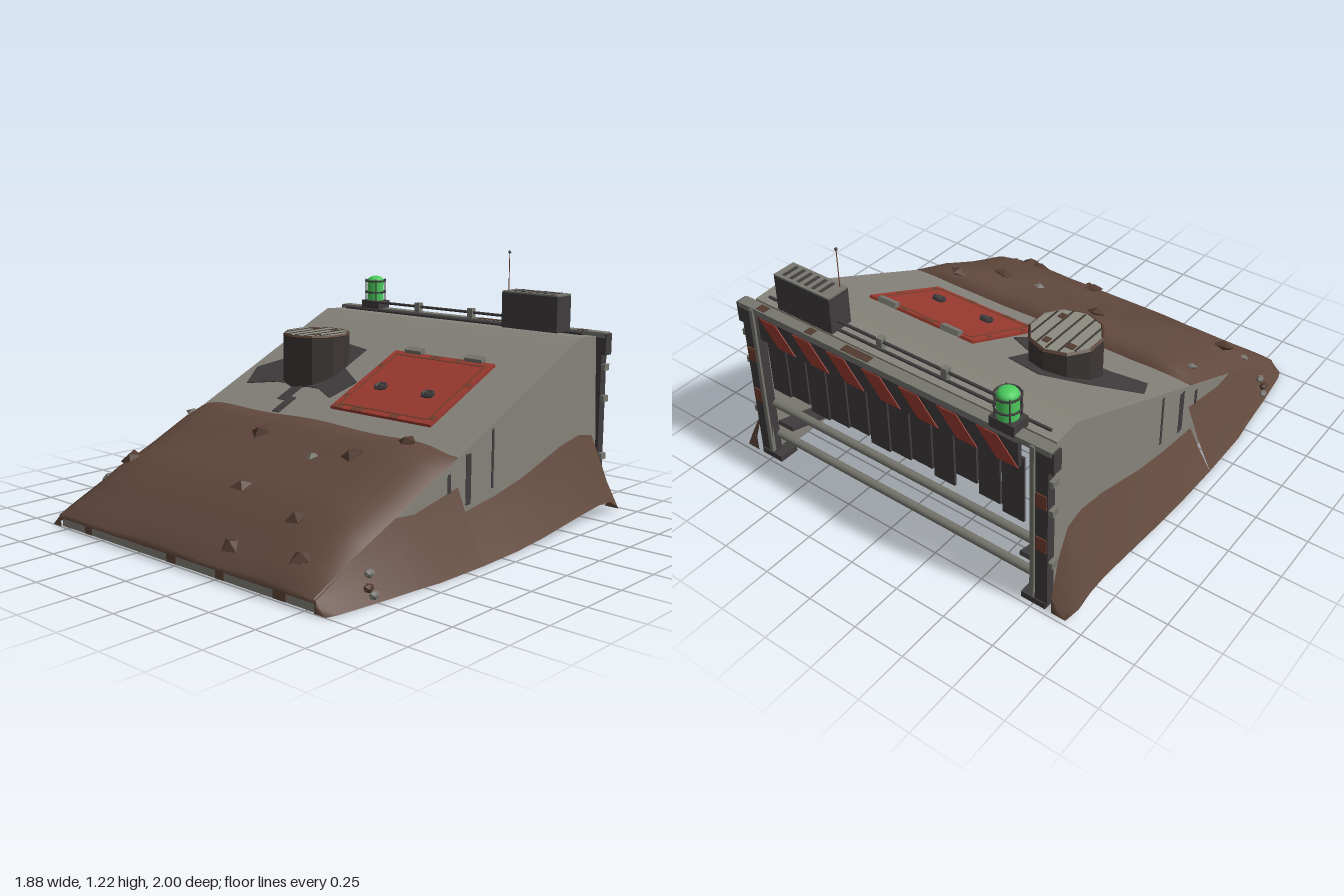
import * as THREE from 'three';

const mat = (name, color) => {
  const m = new THREE.MeshStandardMaterial({ color });
  m.name = name;
  return m;
};

// piecewise linear lookup in [key, value] pairs with descending keys
function lookup(table, k) {
  for (let i = 0; i < table.length - 1; i++) {
    const [a, va] = table[i], [b, vb] = table[i + 1];
    if (k <= a && k >= b) return va + (vb - va) * (a - k) / (a - b || 1);
  }
  return table[k > table[0][0] ? 0 : table.length - 1][1];
}

// surface through rows of points
function loft(rows) {
  const n = rows[0].length, index = [];
  for (let i = 0; i < rows.length - 1; i++)
    for (let j = 0; j < n - 1; j++) {
      const a = i * n + j, b = a + n;
      index.push(a, b, a + 1, b, b + 1, a + 1);
    }
  const g = new THREE.BufferGeometry();
  g.setAttribute('position', new THREE.Float32BufferAttribute(rows.flat(2), 3));
  g.setIndex(index);
  g.computeVertexNormals();
  return g;
}

const SLOPE = 0.444, TILT = Math.atan(SLOPE);
const rampY = z => 0.84 - (z + 0.77) * SLOPE;
const dirtTable = [[1, 0.065], [0.93, 0.12], [0.84, 0.19], [0.72, 0.285], [0.5, 0.37],
  [0.28, 0.465], [0.17, 0.48], [0.14, 0.44]];
const dirtY = (u, z) => {
  const r = rampY(z), bump = 0.006 * Math.sin(u * 7 + z * 9);
  return r + Math.max(0.004, lookup(dirtTable, z) - r + bump) * (1 - Math.abs(u) ** 9);
};

export function createModel() {
  const root = new THREE.Group();
  const concrete = mat('concrete', 0x86847b);
  const dirt = mat('dirt', 0x62493d);
  const rock = mat('darkRock', 0x523b30);
  const dark = mat('darkMetal', 0x413d3e);
  const drumMetal = mat('drumMetal', 0x3d3735);
  const steel = mat('steel', 0x77776f);
  const pale = mat('paleMetal', 0x8d8b82);
  const red = mat('redPaint', 0x9c3a30);
  const rust = mat('rust', 0x74402f);
  const green = mat('greenGlass', 0x4ccb5e);
  dirt.side = THREE.DoubleSide;

  const add = (name, geo, m, x = 0, y = 0, z = 0, parent = root) => {
    const o = new THREE.Mesh(geo, m);
    o.name = name;
    o.position.set(x, y, z);
    parent.add(o);
    return o;
  };
  const box = (name, m, w, h, d, x, y, z, parent) =>
    add(name, new THREE.BoxGeometry(w, h, d), m, x, y, z, parent);
  const extrude = (pts, depth) => new THREE.ExtrudeGeometry(
    new THREE.Shape(pts.map(p => new THREE.Vector2(...p))), { depth, bevelEnabled: false });
  // profile in (z, y) swept across x
  const sweepX = (name, m, pts, x0, x1) =>
    add(name, extrude(pts, x1 - x0).rotateY(-Math.PI / 2), m, x1);
  const faceted = g => { const f = g.toNonIndexed(); f.computeVertexNormals(); return f; };
  const rod = (name, m, r, len, x, y, z, axis = 'x') => {
    const g = new THREE.CylinderGeometry(r, r, len, 8);
    if (axis === 'x') g.rotateZ(Math.PI / 2);
    return add(name, g, m, x, y, z);
  };

  // concrete wedge: side walls, sloping roof slab, front sill
  const top = [[0.99, 0.055], [-0.7, 0.809], [-0.77, 0.838], [-0.9, 0.83]];
  for (const s of [-1, 1]) {
    sweepX('sideWall', concrete, [[-0.95, 0], [0.99, 0], ...top, [-0.925, 0.4]],
      s > 0 ? 0.75 : -0.8, s > 0 ? 0.8 : -0.75);
  }
  sweepX('roofSlab', concrete, [...top, [-0.9, 0.78], [-0.76, 0.78], [0.93, 0.03]], -0.75, 0.75);
  box('frontSill', concrete, 1.5, 0.04, 0.05, 0, 0.021, 0.965);

  // soil over the ramp
  const rows = [];
  for (const z of [0.14, 0.17, 0.22, 0.28, 0.38, 0.5, 0.61, 0.72, 0.84, 0.93, 1]) {
    const row = [];
    for (let i = 0; i <= 28; i++) {
      const u = Math.sin((i / 28 - 0.5) * Math.PI);
      row.push([u * (0.8 + 0.02 * Math.max(0, z - 0.5)), dirtY(u, z), z]);
    }
    rows.push(row);
  }
  rows.push(rows.at(-1).map(([x, , z]) => [x, 0.04, z]));
  add('frontSoil', loft(rows), dirt);

  // soil leaning on both sides: z, inner x, inner height, outer x, bottom height
  const frontBank = [[1, 0.8, 0.055, 0.8, 0], [1, 0.8, 0.06, 0.86, 0], [0.95, 0.8, 0.085, 0.875, 0],
    [0.75, 0.8, 0.176, 0.9, 0], [0.54, 0.8, 0.264, 0.92, 0], [0.42, 0.8, 0.255, 0.935, 0],
    [0.14, 0.8, 0.31, 0.94, 0]];
  const rearBank = [[0.14, 0.82, 0.2, 0.94, 0], [-0.1, 0.82, 0.23, 0.94, 0.005],
    [-0.3, 0.82, 0.27, 0.94, 0.02], [-0.6, 0.82, 0.36, 0.94, 0.055], [-0.75, 0.82, 0.385, 0.94, 0.07],
    [-0.85, 0.825, 0.37, 0.94, 0.065], [-0.92, 0.83, 0.25, 0.935, 0.03], [-0.98, 0.84, 0.08, 0.91, 0],
    [-0.98, 0.84, 0.08, 0.84, 0]];
  for (const s of [-1, 1]) {
    for (const bank of [frontBank, rearBank]) {
      const sec = bank.map(([z, xi, h, xo, b]) =>
        [[xi, h], [xi * 0.55 + xo * 0.45, (h + b) / 2], [xo, b]].map(([x, y]) => [s * x, y, z]));
      add('sideSoil', loft(s > 0 ? sec.reverse() : sec), dirt);
    }
    // dark streaks and soil stains on the wall
    for (const [z, y, h, w] of [[0.2, 0.335, 0.08, 0.02], [0.07, 0.33, 0.22, 0.035], [-0.1, 0.39, 0.26, 0.015]])
      box('wallStreak', dark, 0.004, h, w, s * 0.8, y, z);
    for (const [z, w] of [[-0.2, 0.1], [-0.36, 0.05], [-0.52, 0.09], [-0.68, 0.06], [-0.8, 0.05], [-0.9, 0.06]])
      box('wallStain', dirt, 0.004, 0.035, w, s * 0.8, 0.019, z);
    for (let i = 0; i < 9; i++)
      box('footStain', dirt, 0.04, 0.006, 0.07 + 0.05 * (i % 2), s * 0.778, 0.001, 0.82 - i * 0.2);
    // stones rolled to the foot of the bank
    for (const [x, y, z, m] of [[0.875, 0.06, 0.78, rock], [0.885, 0.03, 0.76, steel], [0.86, 0.11, 0.76, steel]])
      add('bankStone', new THREE.IcosahedronGeometry(0.026, 0).scale(0.7, 0.8, 1), m, s * x, y, z);
  }
  for (const [x, w] of [[-0.6, 0.05], [-0.03, 0.06], [0.27, 0.05], [0.61, 0.07]])
    box('sillStain', dirt, w, 0.035, 0.006, x, 0.02, 0.991);
  // soil washed in behind the sill
  box('innerSoil', dirt, 1.5, 0.012, 0.12, 0, 0.035, 0.89);
  for (let i = 0; i < 9; i++)
    box('innerSoilEdge', dirt, 0.07, 0.012, 0.04 + 0.03 * (i % 3), -0.66 + i * 0.165, 0.037, 0.82);

  // loose stones
  [[0.57, 0.2], [-0.15, 0.36], [-0.73, 0.27, 1], [0.24, 0.43, 1], [0.42, 0.38], [-0.68, 0.68], [0.09, 0.7],
    [0.47, 0.76], [-0.76, 0.76, 1], [0.26, 0.92], [0.63, 0.89]].forEach(([x, z, grey], i) => {
    const r = grey ? 0.034 : 0.054 + 0.006 * (i % 3);
    const o = add('stone', new THREE.OctahedronGeometry(r, 0).scale(1, 0.45, 0.85),
      grey ? steel : rock, x, dirtY(x / 0.8, z) + 0.002, z);
    o.rotation.set(TILT, i * 1.7, 0.15);
  });

  // everything lying on the ramp
  const ramp = new THREE.Group();
  ramp.name = 'rampFittings';
  ramp.position.y = rampY(0);
  ramp.rotation.x = TILT;
  root.add(ramp);
  const k = 1 / Math.cos(TILT);
  const plate = (name, m, pts) =>
    add(name, extrude(pts.map(([x, z]) => [x, -z * k]), 0.004).rotateX(-Math.PI / 2), m, 0, 0.001, 0, ramp);
  const onRamp = (name, m, w, h, d, x, y, z) => box(name, m, w, h, d * k, x, y, z * k, ramp);

  plate('scorchMark', dark, [[-0.76, -0.2], [-0.7, -0.07], [-0.53, -0.12], [-0.25, -0.12], [-0.13, -0.07],
    [-0.08, -0.21], [-0.24, -0.3], [-0.24, -0.46], [-0.42, -0.49], [-0.58, -0.37]]);
  plate('scorchTail', dark, [[-0.41, -0.13], [-0.41, 0], [-0.355, 0], [-0.355, 0.09], [-0.31, 0.09],
    [-0.31, -0.03], [-0.35, -0.03], [-0.35, -0.13]]);

  // red hatch with rusty border, hinges and handles
  onRamp('hatch', red, 0.595, 0.014, 0.47, 0.238, 0.006, -0.24);
  for (const s of [-1, 1]) {
    onRamp('hatchSeam', rust, 0.53, 0.003, 0.007, 0.238, 0.0135, -0.24 + s * 0.205);
    onRamp('hatchSeam', rust, 0.007, 0.003, 0.41, 0.238 + s * 0.262, 0.0135, -0.24);
    const hx = s < 0 ? 0.1 : 0.38;
    const ring = add('hatchHandle', new THREE.TorusGeometry(0.024, 0.008, 5, 6).rotateX(Math.PI / 2),
      dark, hx, 0.026, -0.185 * k, ramp);
    ring.scale.x = 1.2;
    onRamp('handleBase', dark, 0.05, 0.02, 0.025, hx, 0.02, -0.19);
    onRamp('hinge', steel, 0.1, 0.025, 0.03, s < 0 ? 0.06 : 0.42, 0.02, -0.48);
  }
  for (const [x, z, w] of [[-0.045, -0.1, 0.02], [0.1, -0.018, 0.07], [0.32, -0.018, 0.05], [0.52, -0.3, 0.025],
    [0.2, -0.46, 0.06], [-0.045, -0.35, 0.02], [0.52, -0.05, 0.025], [0.34, -0.46, 0.04], [-0.02, -0.018, 0.06]])
    onRamp('rustSpot', rust, w, 0.003, 0.025, x, 0.013, z);

  // round vent with its foot cut to the slope, and a planked lid
  const vent = [-0.4, -0.265];
  const drum = new THREE.CylinderGeometry(0.167, 0.167, 0.4, 10);
  const p = drum.attributes.position;
  for (let i = 0; i < p.count; i++)
    p.setY(i, p.getY(i) > 0 ? 0.79 : rampY(vent[1] + p.getZ(i)) - 0.015);
  add('ventDrum', faceted(drum), drumMetal, vent[0], 0, vent[1]);
  add('ventRim', faceted(new THREE.TorusGeometry(0.161, 0.009, 4, 10).rotateX(Math.PI / 2).rotateY(Math.PI / 10)),
    rock, vent[0], 0.793, vent[1]);
  add('ventLid', faceted(new THREE.CylinderGeometry(0.156, 0.156, 0.012, 10)), pale, vent[0], 0.795, vent[1]);
  for (let i = -2; i <= 2; i++) {
    const x = i * 0.056, len = 2 * Math.sqrt(0.148 ** 2 - x ** 2);
    box('lidSeam', drumMetal, 0.009, 0.004, len, vent[0] + x, 0.801, vent[1]);
  }
  for (const [x, z, w] of [[-0.08, -0.08, 0.04], [0.07, 0.08, 0.04], [0.03, -0.1, 0.03]])
    box('lidRust', rock, w, 0.004, 0.035, vent[0] + x, 0.8015, vent[1] + z);

  // rear gate frame
  for (const s of [-1, 1]) {
    box('gatePost', dark, 0.08, 0.82, 0.045, s * 0.775, 0.42, -0.952);
    box('postFlange', steel, 0.02, 0.8, 0.02, s * 0.745, 0.44, -0.975);
    box('postFoot', dark, 0.12, 0.03, 0.1, s * 0.75, 0.016, -0.93);
    box('postCap', dark, 0.04, 0.1, 0.05, s * 0.82, 0.79, -0.95);
    for (const y of [0.25, 0.53, 0.68]) box('postBolt', steel, 0.03, 0.03, 0.04, s * 0.82, y, -0.95);
    for (const y of [0.35, 0.58]) box('postRust', rust, 0.05, 0.07, 0.006, s * 0.785, y, -0.976);
    const brace = box('brace', dark, 0.09, 0.02, 0.6, s * 0.69, 0.1, -0.64);
    brace.rotation.x = 0.28;
  }
  box('topRail', steel, 1.66, 0.025, 0.055, 0, 0.833, -0.95);
  for (const [x, w] of [[0.16, 0.15], [0.42, 0.04], [0.7, 0.05]])
    box('railRust', rock, w, 0.006, 0.04, x, 0.844, -0.95);
  box('hazardBeam', dark, 1.38, 0.12, 0.02, 0, 0.772, -0.984);
  for (let i = 0; i < 7; i++) {
    const x = -0.69 + i * 0.195;
    add('hazardStripe', extrude([[x, 0.714], [x + 0.1, 0.714], [x + 0.2, 0.829], [x + 0.1, 0.829]], 0.005),
      red, 0, 0, -0.998);
  }
  for (let i = 0; i < 12; i++) {
    const h = 0.33 - 0.015 * ((i * 5) % 3) - (i === 2 ? 0.06 : 0);
    box('curtainStrip', dark, 0.106, h, 0.012, -0.638 + i * 0.116, 0.735 - h / 2, -0.955);
  }
  for (const y of [0.3, 0.12]) rod('gateBar', steel, 0.02, 1.5, 0, y, -0.93);

  // roof edge pipe
  rod('roofPipe', dark, 0.007, 0.95, -0.13, 0.885, -0.865);
  rod('roofCable', dark, 0.007, 1.5, 0, 0.84, -0.865);
  for (const x of [-0.24, 0.1]) box('pipeBracket', steel, 0.03, 0.05, 0.03, x, 0.88, -0.865);

  // green lamp in a cage
  box('lampBase', dark, 0.12, 0.05, 0.09, -0.6, 0.86, -0.935);
  add('lampGlass', new THREE.CylinderGeometry(0.045, 0.045, 0.11, 12), green, -0.6, 0.935, -0.935);
  add('lampDome', new THREE.SphereGeometry(0.045, 12, 6, 0, Math.PI * 2, 0, Math.PI / 2).scale(1, 0.6, 1),
    green, -0.6, 0.99, -0.935);
  for (const y of [0.93, 0.99]) {
    const ring = add('lampRing', new THREE.TorusGeometry(0.054, 0.005, 5, 14), dark, -0.6, y, -0.935);
    ring.rotation.x = Math.PI / 2;
  }
  for (let i = 0; i < 4; i++) {
    const a = i * Math.PI / 2 + 0.8;
    rod('lampCageBar', dark, 0.003, 0.12, -0.6 + 0.052 * Math.cos(a), 0.94, -0.935 + 0.052 * Math.sin(a), 'y');
  }

  // equipment box with slotted lid and aerial
  box('equipmentBox', dark, 0.315, 0.17, 0.115, 0.495, 0.925, -0.85);
  box('boxLid', steel, 0.315, 0.008, 0.115, 0.495, 1.014, -0.85);
  for (let i = 0; i < 6; i++) box('lidSlot', dark, 0.016, 0.008, 0.08, 0.4 + i * 0.042, 1.017, -0.85);
  rod('aerial', rust, 0.002, 0.19, 0.36, 1.11, -0.815, 'y');
  add('aerialTip', new THREE.OctahedronGeometry(0.01), dark, 0.36, 1.203, -0.815);

  return root;
}
